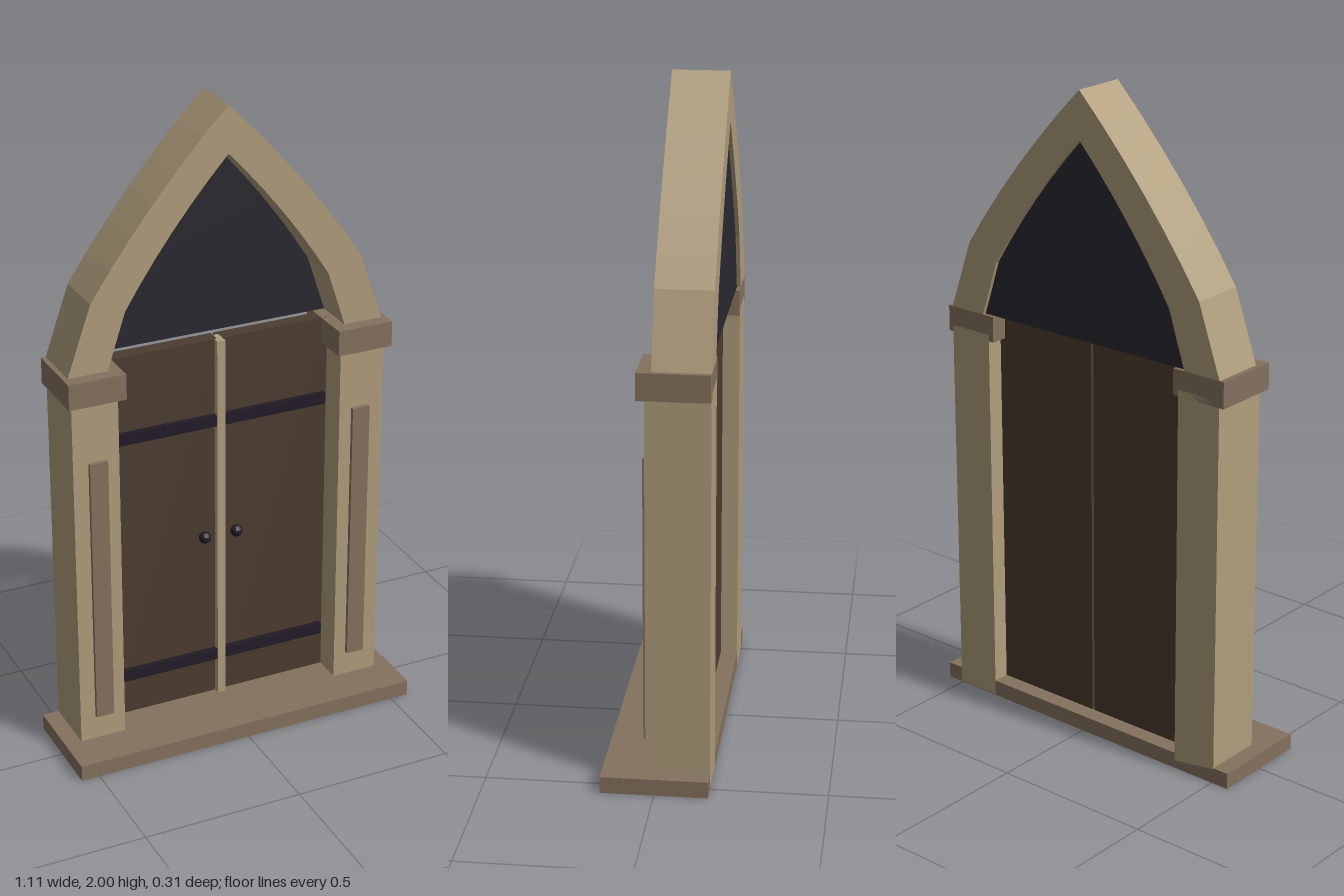
import * as THREE from 'three';

const mat = (color) => new THREE.MeshStandardMaterial({ color, flatShading: true });

export function createModel() {
  const model = new THREE.Group();
  model.name = 'archedDoorway';
  const stone = mat(0xb09d7c), trim = mat(0x84715d), wood = mat(0x4c3c30);
  const dark = mat(0x2a2930), iron = mat(0x211b26);

  const add = (name, geometry, material) => {
    const mesh = new THREE.Mesh(geometry, material);
    mesh.name = name;
    model.add(mesh);
    return mesh;
  };
  // Box given by its extents on each axis
  const box = (name, material, x0, x1, y0, y1, z0, z1) =>
    add(name, new THREE.BoxGeometry(x1 - x0, y1 - y0, z1 - z0), material)
      .position.set((x0 + x1) / 2, (y0 + y1) / 2, (z0 + z1) / 2);

  const BACK = -0.157, SPRING = 1.26;

  // Pointed arch outline: a straight foot, then a gentle curve to the apex
  const trace = (path, sx, sy) => {
    const p = (x, y) => [x * sx, SPRING + y * sy];
    path.moveTo(...p(0.505, 0));
    path.lineTo(...p(0.43, 0.215));
    path.quadraticCurveTo(...p(0.25, 0.49), ...p(0, 0.74));
    path.quadraticCurveTo(...p(-0.25, 0.49), ...p(-0.43, 0.215));
    path.lineTo(...p(-0.505, 0));
    return path;
  };
  const extrude = (shape, z0, z1) =>
    new THREE.ExtrudeGeometry(shape, { depth: z1 - z0, bevelEnabled: false, curveSegments: 6 })
      .translate(0, 0, z0);

  // Arch band: outer outline joined to the reversed inner outline
  const inner = trace(new THREE.Path(), 0.755, 0.805).getPoints(6).reverse();
  const band = new THREE.Shape([...trace(new THREE.Path(), 1, 1).getPoints(6), ...inner]);
  add('arch', extrude(band, BACK, 0.01), stone);

  // Dark panel filling the arch
  add('archPanel', extrude(trace(new THREE.Shape(), 0.757, 0.807), -0.145, -0.122), dark);

  // Threshold
  box('sill', trim, -0.557, 0.557, 0, 0.05, BACK, 0.157);

  // Mirrored parts
  for (const [side, s] of [['left', 1], ['right', -1]]) {
    const half = (name, material, x0, x1, ...rest) =>
      box(side + name, material, Math.min(s * x0, s * x1), Math.max(s * x0, s * x1), ...rest);
    half('Pillar', stone, 0.36, 0.505, 0.002, 1.2, BACK, 0.03);
    half('PillarInset', trim, 0.4, 0.457, 0.13, 0.99, 0.02, 0.042);
    half('Capital', trim, 0.342, 0.52, 1.18, SPRING, BACK, 0.052);
    half('DoorLeaf', wood, 0.004, 0.36, 0.05, SPRING, -0.105, -0.06);
    for (const y of [0.19, 1.0]) half('Strap', iron, 0.013, 0.35, y - 0.018, y + 0.018, -0.065, -0.043);
    add(side + 'Knob', new THREE.SphereGeometry(0.019, 12, 8), iron).position.set(s * 0.053, 0.613, -0.045);
  }

  // Strip covering the joint between the leaves
  box('centreStrip', stone, -0.013, 0.013, 0.05, SPRING, -0.09, -0.04);
  return model;
}
